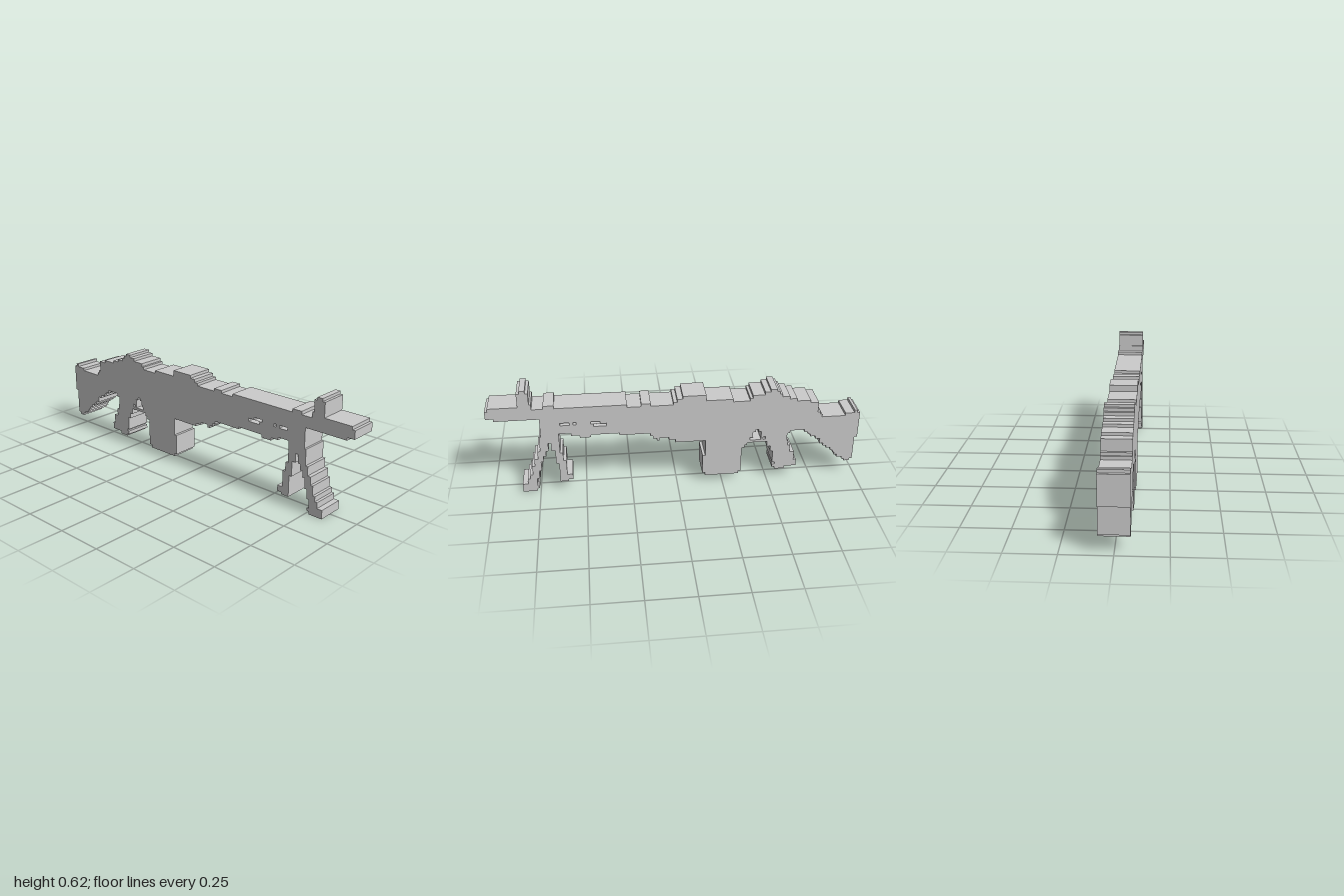
import * as THREE from 'three';

const WIDTH = 0.147;
const material = new THREE.MeshStandardMaterial({ color: 0xcccccc });

// Extrudes a side outline given as [z, y] points across the full width.
function slab(name, points, holes = []) {
  const toShape = ([z, y]) => new THREE.Vector2(-z, y);
  const shape = new THREE.Shape(points.map(toShape));
  for (const [z0, z1, y0, y1] of holes)
    shape.holes.push(new THREE.Path([[z0, y0], [z0, y1], [z1, y1], [z1, y0]].map(toShape)));
  const geometry = new THREE.ExtrudeGeometry(shape, { depth: WIDTH, bevelEnabled: false });
  geometry.rotateY(Math.PI / 2).translate(-WIDTH / 2, 0, 0);
  const mesh = new THREE.Mesh(geometry, material);
  mesh.name = name;
  return mesh;
}

// Turns [start, value] steps into a staircase that ends at `end`.
function stairs(steps, end) {
  return steps.flatMap(([start, value], i) => {
    const next = i + 1 < steps.length ? steps[i + 1][0] : end;
    return [[start, value], [next, value]];
  });
}

// Part with stepped top and bottom edges, steps are [z, y] from front to rear.
function columns(name, top, bottom, zEnd, holes) {
  return slab(name, [...stairs(bottom, zEnd), ...stairs(top, zEnd).reverse()], holes);
}

// Part with stepped front and rear edges, steps are [y, z] from top to bottom.
function rows(name, front, rear, yEnd) {
  const flip = ([y, z]) => [z, y];
  return slab(name, [...stairs(front, yEnd).map(flip), ...stairs(rear, yEnd).map(flip).reverse()]);
}

export function createModel() {
  const model = new THREE.Group();
  model.name = 'pixelRifle';

  // Barrel with its raised front sight
  model.add(columns('barrelAndFrontSight',
    [[1, 0.51], [0.985, 0.527], [0.83, 0.605], [0.815, 0.62], [0.785, 0.605], [0.77, 0.54], [0.76, 0.51]],
    [[1, 0.465], [0.96, 0.45]], 0.725));

  // Handguard with vent slots
  model.add(columns('handguard',
    [[0.725, 0.51], [0.7, 0.527], [0.645, 0.51], [0.265, 0.495], [0.19, 0.51], [0.14, 0.495]],
    [[0.725, 0.355], [0.565, 0.34], [0.52, 0.325], [0.46, 0.34], [0.31, 0.328], [0.145, 0.31],
      [0.13, 0.295], [0.11, 0.28], [0.095, 0.295], [0.045, 0.28]], 0.02,
    [[0.62, 0.57, 0.405, 0.42], [0.55, 0.535, 0.405, 0.42],
      [0.46, 0.41, 0.406, 0.42], [0.445, 0.375, 0.39, 0.4059]]));

  // Receiver; its underside steps up over the trigger opening
  model.add(columns('receiver',
    [[0.02, 0.51], [0, 0.527], [-0.03, 0.543], [-0.155, 0.51], [-0.3, 0.495], [-0.39, 0.51],
      [-0.405, 0.527], [-0.47, 0.543], [-0.5, 0.557], [-0.535, 0.543], [-0.55, 0.527], [-0.565, 0.51]],
    [[0.02, 0.28], [0.01, 0.263], [-0.355, 0.203], [-0.37, 0.219], [-0.385, 0.235], [-0.4, 0.266],
      [-0.415, 0.3], [-0.43, 0.315], [-0.445, 0.3], [-0.46, 0.25], [-0.47, 0.266], [-0.485, 0.235]],
    -0.605));
  model.add(columns('triggerGuard', [[-0.4, 0.25]], [[-0.4, 0.235]], -0.485));

  // Magazine
  model.add(rows('magazine',
    [[0.263, -0.155], [0.166, -0.14], [0.053, -0.155]],
    [[0.263, -0.355], [0.053, -0.34]], 0.037));

  // Pistol grip
  model.add(rows('grip',
    [[0.235, -0.495], [0.203, -0.515], [0.17, -0.53], [0.096, -0.545], [0.085, -0.53], [0.065, -0.545]],
    [[0.235, -0.61], [0.203, -0.625], [0.16, -0.65], [0.107, -0.665], [0.068, -0.6]], 0.053));

  // Stock
  model.add(columns('stock',
    [[-0.605, 0.495], [-0.645, 0.48], [-0.72, 0.465], [-0.765, 0.405], [-0.78, 0.39], [-0.79, 0.373],
      [-0.92, 0.388], [-0.97, 0.404], [-0.985, 0.388]],
    [[-0.605, 0.28], [-0.62, 0.297], [-0.7, 0.282], [-0.72, 0.268], [-0.735, 0.252], [-0.765, 0.235],
      [-0.79, 0.203], [-0.81, 0.187], [-0.83, 0.172], [-0.855, 0.155], [-0.87, 0.14], [-0.88, 0.124],
      [-0.895, 0.108], [-0.925, 0.094], [-0.94, 0.08], [-0.97, 0.094], [-0.985, 0.235]], -1));

  // Bipod: shared head, slanted front leg and rear leg
  model.add(rows('bipodHead', [[0.355, 0.725], [0.34, 0.735]], [[0.355, 0.63]], 0.3));
  model.add(rows('bipodFrontLeg',
    [[0.3, 0.735], [0.252, 0.75], [0.203, 0.77], [0.16, 0.785], [0.107, 0.8], [0.08, 0.815], [0.048, 0.845]],
    [[0.3, 0.69], [0.252, 0.705], [0.22, 0.72], [0.187, 0.735], [0.13, 0.75], [0.08, 0.765],
      [0.032, 0.755], [0.016, 0.768]], 0));
  model.add(rows('bipodRearLeg',
    [[0.3, 0.675], [0.252, 0.655], [0.17, 0.64]],
    [[0.3, 0.63], [0.236, 0.615], [0.187, 0.6], [0.096, 0.57], [0.064, 0.595]], 0.053));

  return model;
}
